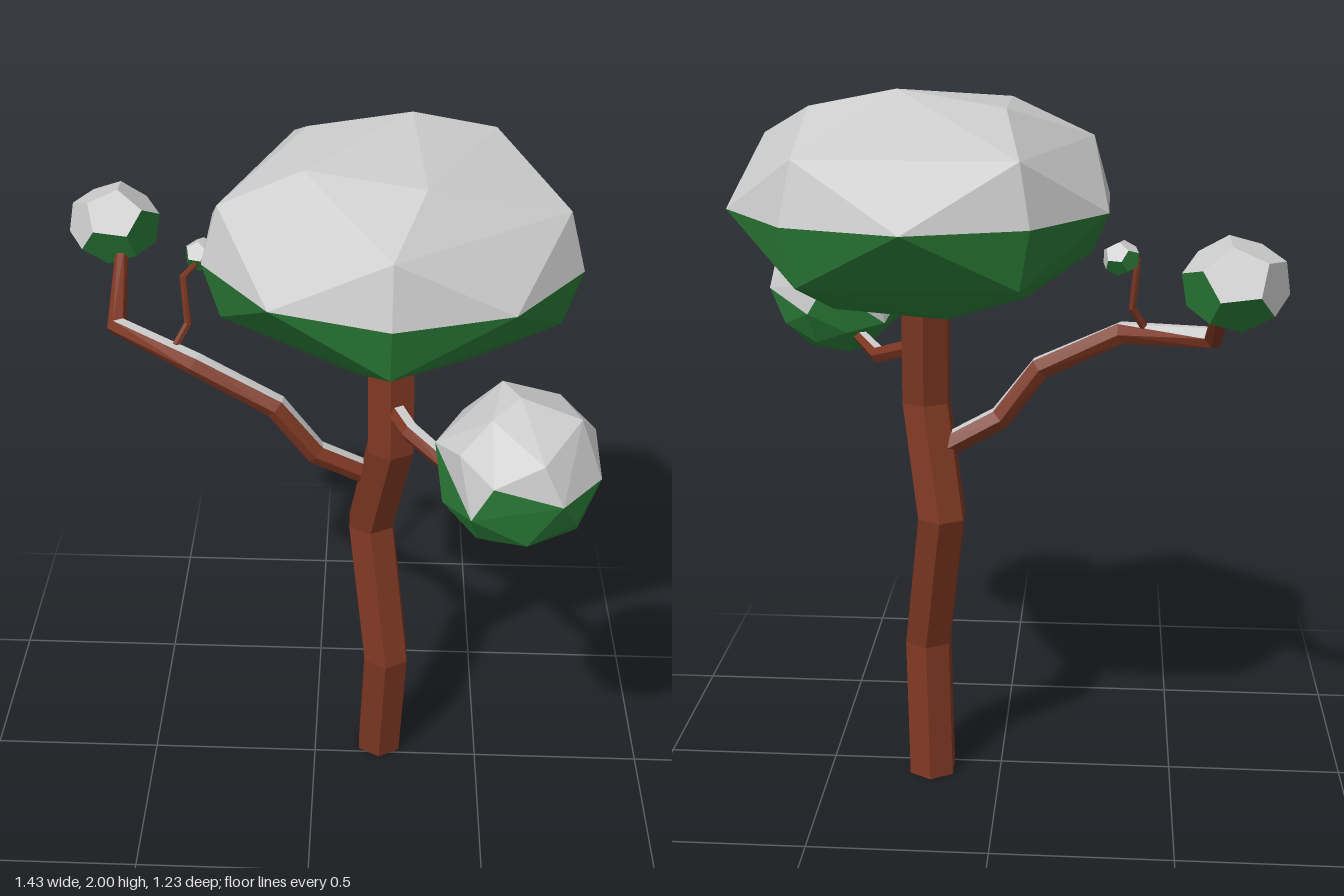
import * as THREE from 'three';
import { ConvexGeometry } from 'three/addons/geometries/ConvexGeometry.js';

const V = (x, y, z) => new THREE.Vector3(x, y, z);
const material = (color) => new THREE.MeshStandardMaterial({ color, flatShading: true });

export function createModel() {
  const tree = new THREE.Group();
  tree.name = 'tree';
  const bark = material(0x7d3722), leaf = material(0x2c8039), snow = material(0xcccccc);

  function addMesh(name, coords, mat) {
    if (!coords.length) return;
    const geo = new THREE.BufferGeometry();
    geo.setAttribute('position', new THREE.Float32BufferAttribute(coords, 3));
    geo.computeVertexNormals();
    const mesh = new THREE.Mesh(geo, mat);
    mesh.name = name;
    tree.add(mesh);
  }

  // Sorts triangles into a bare part and a snow part by how far they face up
  function addSplit(name, triangles, mat, isSnow) {
    const bare = [], white = [];
    for (const t of triangles) {
      const n = new THREE.Triangle(...t).getNormal(V(0, 0, 0));
      const list = isSnow(n, t) ? white : bare;
      t.forEach((p) => list.push(p.x, p.y, p.z));
    }
    addMesh(name, bare, mat);
    addMesh(name + 'Snow', white, snow);
  }

  // Faceted limb: a six-sided ring at every path point, [x, y, z, radius]
  function addLimb(name, path, ref, { level = false, snowSegments = 0 } = {}) {
    const sides = 6;
    const centres = path.map(([x, y, z]) => V(x, y, z));
    const rings = centres.map((c, i) => {
      const t = V(0, 1, 0);
      if (!level) {
        t.set(0, 0, 0);
        if (i > 0) t.add(c.clone().sub(centres[i - 1]).normalize());
        if (i < centres.length - 1) t.add(centres[i + 1].clone().sub(c).normalize());
        t.normalize();
      }
      const u = ref.clone().cross(t).normalize(), v = t.clone().cross(u);
      return Array.from({ length: sides }, (_, j) => {
        const a = (j / sides) * Math.PI * 2, r = path[i][3];
        return c.clone().addScaledVector(u, r * Math.cos(a)).addScaledVector(v, r * Math.sin(a));
      });
    });
    const tris = [], last = rings.length - 1;
    const snowy = new Set();
    for (let j = 0; j < sides; j++) {
      const k = (j + 1) % sides;
      for (let i = 0; i < last; i++) {
        const a = rings[i][j], b = rings[i][k], c = rings[i + 1][k], d = rings[i + 1][j];
        const pair = [[a, b, c], [a, c, d]];
        tris.push(...pair);
        if (i < snowSegments) pair.forEach((t) => snowy.add(t));
      }
      tris.push([centres[0], rings[0][k], rings[0][j]]);
      tris.push([centres[last], rings[last][j], rings[last][k]]);
    }
    addSplit(name, tris, bark, (n, t) => snowy.has(t) && n.y > 0.55);
  }

  // Faceted foliage clump: hull of unit points, turned, sized and placed
  function addClump(name, points, centre, size, turn) {
    const euler = new THREE.Euler(...turn);
    const placed = points.map((p) => p.clone().applyEuler(euler).multiply(size).add(centre));
    const pos = new ConvexGeometry(placed).attributes.position;
    const tris = [];
    for (let i = 0; i < pos.count; i += 3)
      tris.push([0, 1, 2].map((k) => V(0, 0, 0).fromBufferAttribute(pos, i + k)));
    addSplit(name, tris, leaf, (n) => n.y > 0);
  }

  // Trunk, with level rings at every bend
  addLimb('trunk', [
    [0.2, 0, -0.05, 0.072], [0.212, 0.4, -0.003, 0.072], [0.158, 0.82, -0.1, 0.072],
    [0.207, 1.13, -0.013, 0.072], [0.2, 1.48, -0.045, 0.072],
  ], V(1, 0, 0), { level: true });

  // Branches
  addLimb('longBranch', [
    [0.17, 1.0, -0.06, 0.034], [0, 1.09, -0.04, 0.034], [-0.11, 1.235, -0.04, 0.034],
    [-0.33, 1.345, -0.07, 0.032], [-0.565, 1.375, -0.225, 0.03], [-0.57, 1.52, -0.43, 0.018],
  ], V(0, 1, 0), { snowSegments: 4 });
  addLimb('shortBranch', [
    [0.2, 1.27, -0.02, 0.028], [0.255, 1.25, 0.1, 0.027],
    [0.37, 1.2, 0.2, 0.025], [0.46, 1.24, 0.33, 0.02],
  ], V(0, 1, 0), { snowSegments: 3 });
  addLimb('twig', [
    [-0.39, 1.37, -0.12, 0.011], [-0.355, 1.43, -0.145, 0.011],
    [-0.365, 1.56, -0.165, 0.01], [-0.325, 1.575, -0.245, 0.008],
  ], V(1, 0, 0));

  // Unit clump: ten-sided equator, five-sided rings above and below, off-centre crown
  const onRing = (deg, r, y) => {
    const a = THREE.MathUtils.degToRad(deg);
    return V(r * Math.cos(a), y, r * Math.sin(a));
  };
  const clump = [V(0.09, 1, -0.28), V(0, -1, 0)];
  for (let k = 0; k < 10; k++) clump.push(onRing(18 + 36 * k, 1, 0));
  for (let k = 0; k < 5; k++) {
    clump.push(onRing(18 + 72 * k, 0.91, 0.52), onRing(18 + 72 * k, 0.91, -0.52));
    clump.push(onRing(36 + 72 * k, 0.526, -0.85));
  }
  clump.push(onRing(-30, 0.6, 0.86));
  for (const deg of [73, 146, 213]) clump.push(onRing(deg, 0.53, 0.85));

  const dode = new THREE.DodecahedronGeometry(1).attributes.position;
  const ball = new Map();
  for (let i = 0; i < dode.count; i++) {
    const p = V(0, 0, 0).fromBufferAttribute(dode, i);
    ball.set(p.toArray().map((n) => Math.round(n * 100)).join(), p);
  }
  const smallClump = [...ball.values()];

  // Foliage
  addClump('canopy', clump, V(0.195, 1.7, -0.112), V(0.51, 0.3, 0.505), [0, 0, 0]);
  addClump('lowClump', clump, V(0.513, 1.357, 0.42), V(0.207, 0.205, 0.203), [0.5, 0.7, 0.35]);
  addClump('branchClump', smallClump, V(-0.595, 1.572, -0.48), V(0.133, 0.116, 0.126), [0.3, 0.5, 0.2]);
  addClump('twigClump', smallClump, V(-0.322, 1.585, -0.255), V(0.05, 0.046, 0.048), [0.3, 0.2, 0.5]);
  return tree;
}
